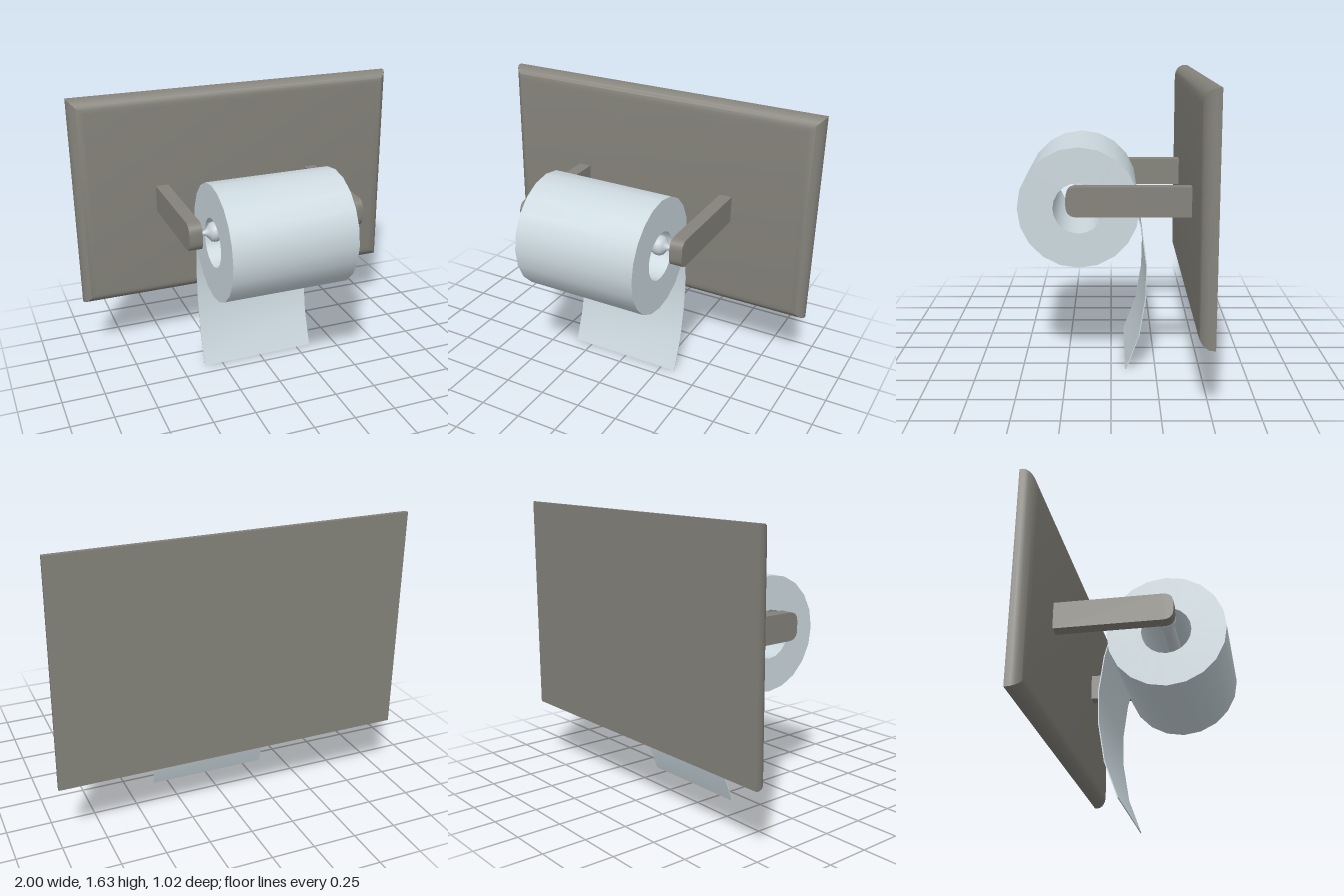
import * as THREE from 'three';
import { toCreasedNormals } from 'three/addons/utils/BufferGeometryUtils.js';

const material = (name, color, side = THREE.FrontSide) => {
  const m = new THREE.MeshStandardMaterial({ color, side });
  m.name = name;
  return m;
};

// Rectangular board with a rounded front rim, built from mitred rectangular loops
function boardGeometry(halfW, halfH, zBack, zFront, inset, depth) {
  const rings = [[0, zBack]];
  const steps = 6;
  for (let i = 0; i <= steps; i++) {
    const a = (i / steps) * Math.PI / 2;
    rings.push([inset * (1 - Math.cos(a)), zFront - depth * (1 - Math.sin(a))]);
  }
  const pos = [];
  for (const [d, z] of rings) {
    const w = halfW - d, h = halfH - d;
    pos.push(-w, -h, z, w, -h, z, w, h, z, -w, h, z);
  }
  const idx = [0, 2, 1, 0, 3, 2];
  for (let r = 0; r < rings.length - 1; r++) {
    for (let k = 0; k < 4; k++) {
      const a = r * 4 + k, b = r * 4 + (k + 1) % 4;
      idx.push(a, b, b + 4, a, b + 4, a + 4);
    }
  }
  const f = (rings.length - 1) * 4;
  idx.push(f, f + 1, f + 2, f, f + 2, f + 3);
  const g = new THREE.BufferGeometry();
  g.setAttribute('position', new THREE.Float32BufferAttribute(pos, 3));
  g.setIndex(idx);
  return toCreasedNormals(g, 0.6);
}

// Extrudes a (z, y) outline along x, from x0 to x1
function extrudeAlongX(shape, x0, x1) {
  const g = new THREE.ExtrudeGeometry(shape, { depth: x1 - x0, bevelEnabled: false, curveSegments: 6 });
  g.rotateY(Math.PI / 2); // shape x becomes -z, depth becomes +x
  g.translate(x0, 0, 0);
  return toCreasedNormals(g, 0.6);
}

export function createModel() {
  const root = new THREE.Group();
  const grey = material('warm grey', 0x84827a);
  const paper = material('pale blue paper', 0xccd9df, THREE.DoubleSide);
  const metal = material('pale metal', 0xc6d0d6);
  const add = (name, geometry, mat) => {
    const mesh = new THREE.Mesh(geometry, mat);
    mesh.name = name;
    root.add(mesh);
    return mesh;
  };

  // Wall board
  add('backBoard', boardGeometry(1, 0.635, -0.51, -0.425, 0.08, 0.07), grey).position.y = 1;

  // Arms with rounded front ends
  const r = 0.06, end = -0.24;
  const arm = new THREE.Shape();
  arm.moveTo(0.435, 0.92);
  arm.lineTo(0.435, 1.08);
  arm.lineTo(end + r, 1.08);
  arm.quadraticCurveTo(end, 1.08, end, 1.08 - r);
  arm.lineTo(end, 0.92 + r);
  arm.quadraticCurveTo(end, 0.92, end + r, 0.92);
  arm.closePath();
  add('rightArm', extrudeAlongX(arm, -0.525, -0.45), grey);
  add('leftArm', extrudeAlongX(arm, 0.435, 0.51), grey);

  // Spindle: a bar with a tapered pin at each end
  const halfProfile = [[0.008, 0.445], [0.012, 0.42], [0.02, 0.4], [0.036, 0.388],
    [0.05, 0.378], [0.056, 0.362], [0.056, 0.345], [0.046, 0.32], [0.04, 0.3]];
  const profile = [
    ...halfProfile.map(([rad, x]) => new THREE.Vector2(rad, -x)),
    ...halfProfile.slice().reverse().map(([rad, x]) => new THREE.Vector2(rad, x)),
  ];
  const spindle = add('spindle', new THREE.LatheGeometry(profile, 20), metal);
  spindle.rotation.z = -Math.PI / 2;
  spindle.position.set(-0.008, 1, 0.175);

  // Hollow paper roll
  const roll = new THREE.LatheGeometry([
    [0.14, -0.365], [0.334, -0.365], [0.334, 0.365], [0.14, 0.365], [0.14, -0.365],
  ].map(([rad, x]) => new THREE.Vector2(rad, x)), 20);
  const rollMesh = add('paperRoll', toCreasedNormals(roll, 0.6), paper);
  rollMesh.rotation.z = -Math.PI / 2;
  rollMesh.position.set(-0.01, 0.935, 0.178);

  // Hanging sheet, a thin curved strip leaving the back of the roll
  const path = [[-0.14, 0.94], [-0.15, 0.89], [-0.172, 0.81], [-0.2, 0.6],
    [-0.196, 0.42], [-0.16, 0.2], [-0.086, 0]];
  const t = 0.006;
  const sheet = new THREE.Shape([
    ...path.map(([z, y]) => new THREE.Vector2(-z, y)),
    ...path.slice().reverse().map(([z, y]) => new THREE.Vector2(-z - t, y)),
  ]);
  add('hangingSheet', extrudeAlongX(sheet, -0.36, 0.34), paper);

  return root;
}
